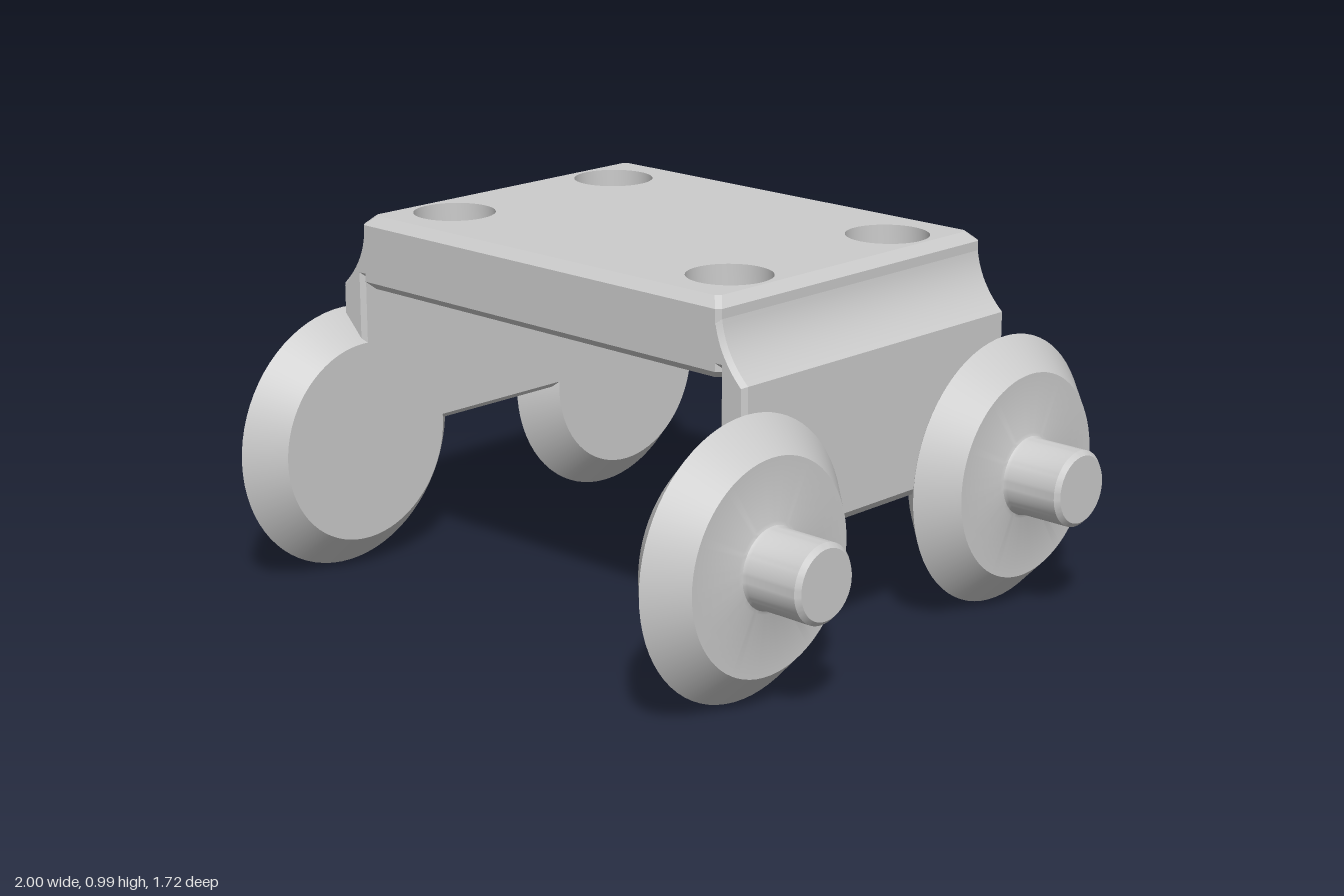
import * as THREE from 'three';
import { mergeGeometries, toCreasedNormals } from 'three/addons/utils/BufferGeometryUtils.js';

const material = new THREE.MeshStandardMaterial({ color: 0xcccccc });
const BOTTOM = 0.79, TOP = 0.99, HX = 0.65, HZ = 0.5;
const BORE = 0.11, HOLE = 0.066, LEDGE = 0.87;
const holes = [[0.5, 0.3], [-0.5, 0.3], [-0.5, -0.3], [0.5, -0.3]];

function mesh(geometry, name) {
  const m = new THREE.Mesh(toCreasedNormals(geometry, 0.5), material);
  m.name = name;
  return m;
}

function lathe(points, segments) {
  return new THREE.LatheGeometry(points.map(([r, y]) => new THREE.Vector2(r, y)), segments);
}

// Rectangle with small cut corners, shrunk by an inset
function outline(inset) {
  const x = HX - inset, z = HZ - inset, c = 0.012;
  return [[x, c - z], [x, z - c], [x - c, z], [c - x, z], [-x, z - c], [-x, c - z], [c - x, -z], [x - c, -z]];
}

// Flat face of the plate with four round openings
function plateFace(inset, radius, y, up) {
  const shape = new THREE.Shape(outline(inset).map(([x, z]) => new THREE.Vector2(x, z)));
  for (const [x, z] of holes) {
    shape.holes.push(new THREE.Path().absarc(x, z, radius, 0, Math.PI * 2, true));
  }
  return new THREE.ShapeGeometry(shape, 24).rotateX(up ? -Math.PI / 2 : Math.PI / 2).translate(0, y, 0);
}

// Plate rim with chamfered top and bottom edges
function plateRim() {
  const rings = [[0.02, BOTTOM], [0, BOTTOM + 0.02], [0, TOP - 0.025], [0.025, TOP]];
  const position = [], uv = [], index = [];
  for (const [inset, y] of rings) {
    for (const [x, z] of outline(inset)) {
      position.push(x, y, z);
      uv.push(0, 0);
    }
  }
  for (let r = 0; r < rings.length - 1; r++) {
    for (let i = 0; i < 8; i++) {
      const a = r * 8 + i, b = r * 8 + (i + 1) % 8;
      index.push(a, a + 8, b, b, a + 8, b + 8);
    }
  }
  const g = new THREE.BufferGeometry();
  g.setAttribute('position', new THREE.Float32BufferAttribute(position, 3));
  g.setAttribute('uv', new THREE.Float32BufferAttribute(uv, 2));
  g.setIndex(index);
  g.computeVertexNormals();
  return g;
}

// Plate with counterbored screw holes
function createPlate() {
  const parts = [plateRim(), plateFace(0.025, BORE, TOP, true), plateFace(0.02, HOLE, BOTTOM, false)];
  for (const [x, z] of holes) {
    const bore = lathe([[BORE, TOP], [BORE, LEDGE], [HOLE, LEDGE], [HOLE, BOTTOM]], 48);
    parts.push(bore.translate(x, 0, z));
  }
  return mesh(mergeGeometries(parts.map((g) => g.toNonIndexed())), 'plate');
}

// Side wall: profile with a concave fillet running up into the plate
function createWall() {
  const s = new THREE.Shape();
  s.moveTo(0.665, 0.365);
  s.lineTo(0.715, 0.365);
  s.lineTo(0.735, 0.388);
  s.lineTo(0.735, 0.79);
  s.quadraticCurveTo(0.662, 0.855, HX, 0.94);
  s.lineTo(0.61, 0.94);
  s.lineTo(0.61, 0.82);
  s.lineTo(HX, 0.82);
  s.lineTo(HX, 0.38);
  s.closePath();
  const bevel = 0.012;
  const g = new THREE.ExtrudeGeometry(s, {
    depth: 2 * (HZ - bevel), curveSegments: 14, bevelEnabled: true,
    bevelThickness: bevel, bevelSize: bevel, bevelOffset: -bevel, bevelSegments: 1,
  });
  return mesh(g.translate(0, 0, bevel - HZ), 'sideWall');
}

// Double-bevelled wheel with its axle stub
function createWheel(z) {
  const g = lathe([
    [0, 0.65], [0.275, 0.65], [0.361, 0.737], [0.275, 0.825], [0.115, 0.825],
    [0.106, 0.829], [0.102, 0.838], [0.102, 0.988], [0.09, 1], [0, 1],
  ], 72);
  const wheel = mesh(g.rotateZ(-Math.PI / 2), 'wheel');
  wheel.position.set(0, 0.362, z);
  return wheel;
}

export function createModel() {
  const model = new THREE.Group();
  model.name = 'wheeledBase';
  model.add(createPlate());
  for (const name of ['leftSide', 'rightSide']) {
    const side = new THREE.Group();
    side.name = name;
    side.add(createWall(), createWheel(0.5), createWheel(-0.5));
    if (name === 'rightSide') side.rotation.y = Math.PI;
    model.add(side);
  }
  return model;
}
